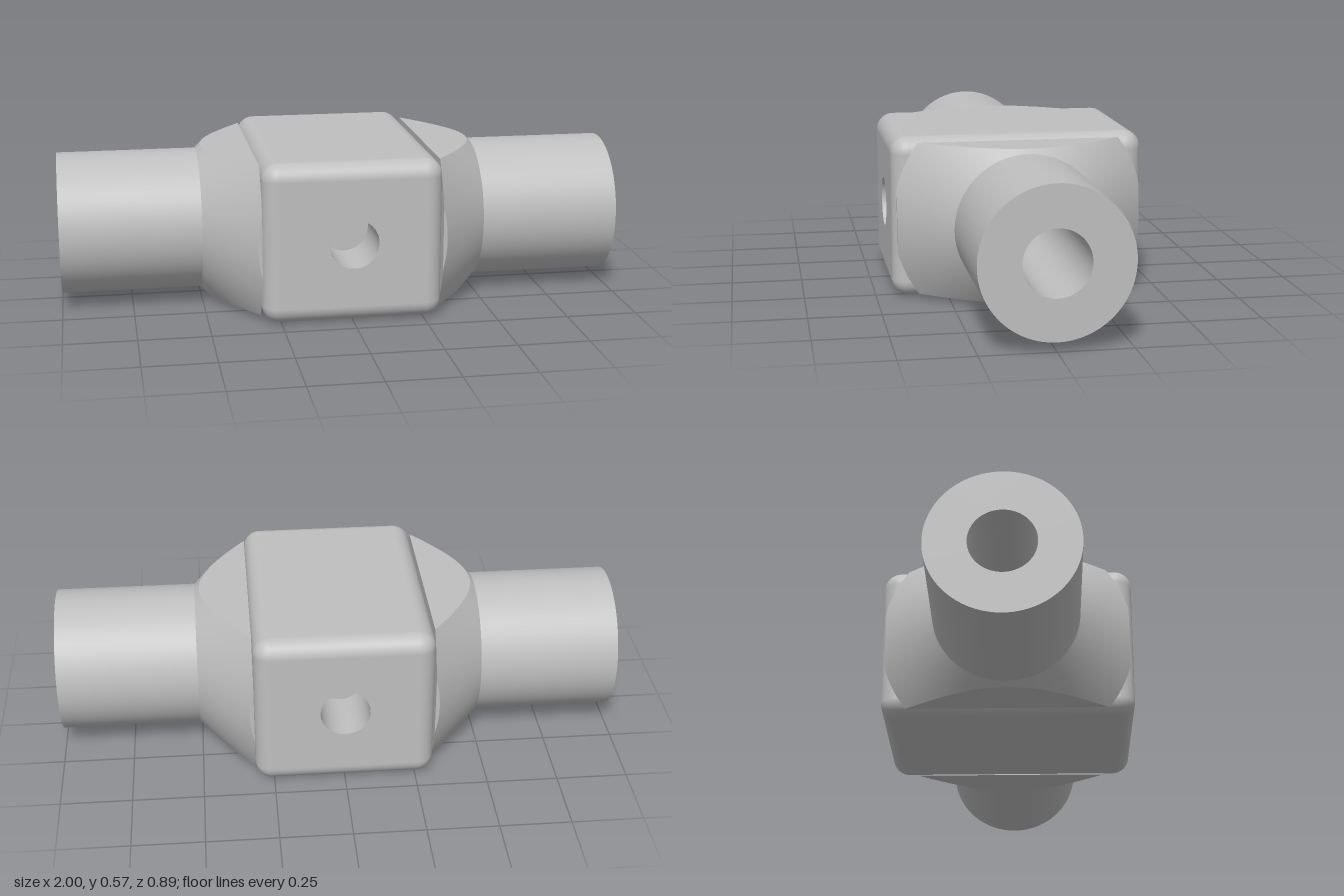
import * as THREE from 'three';
import { toCreasedNormals } from 'three/addons/utils/BufferGeometryUtils.js';
import { RoundedBoxGeometry } from 'three/addons/geometries/RoundedBoxGeometry.js';

const HALF = new THREE.Vector3(0.315, 0.284, 0.443); // block half sizes
const ROUND = 0.06;
const BORE_R = 0.1115, PIN_R = 0.087, PIN_DEPTH = 0.22;
const SHAFT_R = 0.2525, SHAFT_START = 0.505, SHAFT_END = 1;
const COLLAR_R = 0.4425, COLLAR_X = 0.316, COLLAR_Y = 0.268, COLLAR_Z = 0.428;

// Rounded block without its flat x and z faces, which are replaced by drilled plates
function blockShell() {
  const g = new RoundedBoxGeometry(HALF.x * 2, HALF.y * 2, HALF.z * 2, 6, ROUND).toNonIndexed();
  const p = g.attributes.position, n = g.attributes.normal;
  const pos = [], nor = [];
  for (let i = 0; i < p.count; i += 3) {
    const ids = [i, i + 1, i + 2];
    const flat = ids.every(k => Math.abs(p.getX(k)) > HALF.x - 1e-5)
      || ids.every(k => Math.abs(p.getZ(k)) > HALF.z - 1e-5);
    if (flat) continue;
    for (const k of ids) {
      pos.push(p.getX(k), p.getY(k), p.getZ(k));
      nor.push(n.getX(k), n.getY(k), n.getZ(k));
    }
  }
  const out = new THREE.BufferGeometry();
  out.setAttribute('position', new THREE.Float32BufferAttribute(pos, 3));
  out.setAttribute('normal', new THREE.Float32BufferAttribute(nor, 3));
  return out;
}

// Flat rectangle with a round hole, facing +z
function drilledFace(halfW, halfH, radius) {
  const s = new THREE.Shape([[-1, -1], [1, -1], [1, 1], [-1, 1]]
    .map(([a, b]) => new THREE.Vector2(a * halfW, b * halfH)));
  s.holes.push(new THREE.Path().absarc(0, 0, radius, 0, Math.PI * 2, true));
  return new THREE.ShapeGeometry(s, 48);
}

// 45 degree cone whose outside is trimmed to a rectangle, pointing along +x
function collarGeometry() {
  const corner = Math.atan2(COLLAR_Y, Math.sqrt(COLLAR_R ** 2 - COLLAR_Y ** 2));
  const side = Math.acos(COLLAR_Z / COLLAR_R);
  const angles = [];
  for (let i = 0; i < 96; i++) angles.push(i / 96 * Math.PI * 2);
  for (const a of [corner, side]) angles.push(a, Math.PI - a, Math.PI + a, Math.PI * 2 - a);
  angles.sort((a, b) => a - b);

  const limit = a => Math.min(COLLAR_R,
    COLLAR_Y / Math.max(1e-6, Math.abs(Math.sin(a))),
    COLLAR_Z / Math.max(1e-6, Math.abs(Math.cos(a))));
  const slope = (SHAFT_START - COLLAR_X) / (COLLAR_R - SHAFT_R);
  // cross-section: shaft joint, cone rim, trimmed side, back face
  const section = a => {
    const r = limit(a);
    const at = (x, q) => [x, q * Math.sin(a), q * Math.cos(a)];
    return [at(SHAFT_START, SHAFT_R), at(SHAFT_START - (r - SHAFT_R) * slope, r),
      at(COLLAR_X, r), at(COLLAR_X, 0.15)];
  };
  const pos = [];
  for (let i = 0; i < angles.length; i++) {
    const A = section(angles[i]), B = section(angles[(i + 1) % angles.length]);
    for (let j = 0; j < 3; j++) {
      if (j === 1 && A[1][0] - COLLAR_X < 1e-5 && B[1][0] - COLLAR_X < 1e-5) continue;
      pos.push(...A[j], ...A[j + 1], ...B[j + 1], ...A[j], ...B[j + 1], ...B[j]);
    }
  }
  // keep the winding outward
  for (let i = 0; i < pos.length; i += 9) {
    for (let k = 0; k < 3; k++) [pos[i + 3 + k], pos[i + 6 + k]] = [pos[i + 6 + k], pos[i + 3 + k]];
  }
  const g = new THREE.BufferGeometry();
  g.setAttribute('position', new THREE.Float32BufferAttribute(pos, 3));
  // orient by the first cone face, which must look towards +x
  g.computeVertexNormals();
  if (g.attributes.normal.getX(0) < 0) {
    const p = g.attributes.position.array;
    for (let i = 0; i < p.length; i += 9) {
      for (let k = 0; k < 3; k++) [p[i + 3 + k], p[i + 6 + k]] = [p[i + 6 + k], p[i + 3 + k]];
    }
  }
  g.deleteAttribute('normal');
  return toCreasedNormals(g, 0.45);
}

export function createModel() {
  const steel = new THREE.MeshStandardMaterial({ color: 0xbfbfbf, side: THREE.DoubleSide });
  steel.name = 'steel grey';
  const model = new THREE.Group();
  model.name = 'shaftCoupling';
  const body = new THREE.Group();
  body.name = 'couplingBody';
  body.position.y = HALF.y;
  model.add(body);

  const add = (parent, name, geometry) => {
    const m = new THREE.Mesh(geometry, steel);
    m.name = name;
    parent.add(m);
    return m;
  };

  // Centre block and the bore running through everything
  add(body, 'centreBlock', blockShell());
  add(body, 'throughBore',
    new THREE.CylinderGeometry(BORE_R, BORE_R, SHAFT_END * 2, 64, 1, true).rotateZ(Math.PI / 2));

  const collar = collarGeometry();
  for (const turn of [0, Math.PI]) {
    // Front and back faces with blind pin holes
    const face = new THREE.Group();
    face.name = turn ? 'backFace' : 'frontFace';
    face.rotation.y = turn;
    body.add(face);
    add(face, 'pinFace', drilledFace(HALF.x - ROUND, HALF.y - ROUND, PIN_R)).position.z = HALF.z;
    add(face, 'pinHoleWall', new THREE.CylinderGeometry(PIN_R, PIN_R, PIN_DEPTH, 48, 1, true)
      .rotateX(Math.PI / 2)).position.z = HALF.z - PIN_DEPTH / 2;
    add(face, 'pinHoleFloor', new THREE.CircleGeometry(PIN_R, 48)).position.z = HALF.z - PIN_DEPTH;

    // Shaft end: block side, trimmed cone collar, hollow shaft
    const end = new THREE.Group();
    end.name = turn ? 'rightShaftEnd' : 'leftShaftEnd';
    end.rotation.y = turn;
    body.add(end);
    add(end, 'blockSide', drilledFace(HALF.z - ROUND, HALF.y - ROUND, BORE_R)
      .rotateY(Math.PI / 2)).position.x = HALF.x;
    add(end, 'collar', collar);
    const length = SHAFT_END - SHAFT_START;
    add(end, 'shaft', new THREE.CylinderGeometry(SHAFT_R, SHAFT_R, length, 96, 1, true)
      .rotateZ(Math.PI / 2)).position.x = SHAFT_START + length / 2;
    add(end, 'shaftEndFace', new THREE.RingGeometry(BORE_R, SHAFT_R, 96)
      .rotateY(Math.PI / 2)).position.x = SHAFT_END;
  }
  return model;
}
